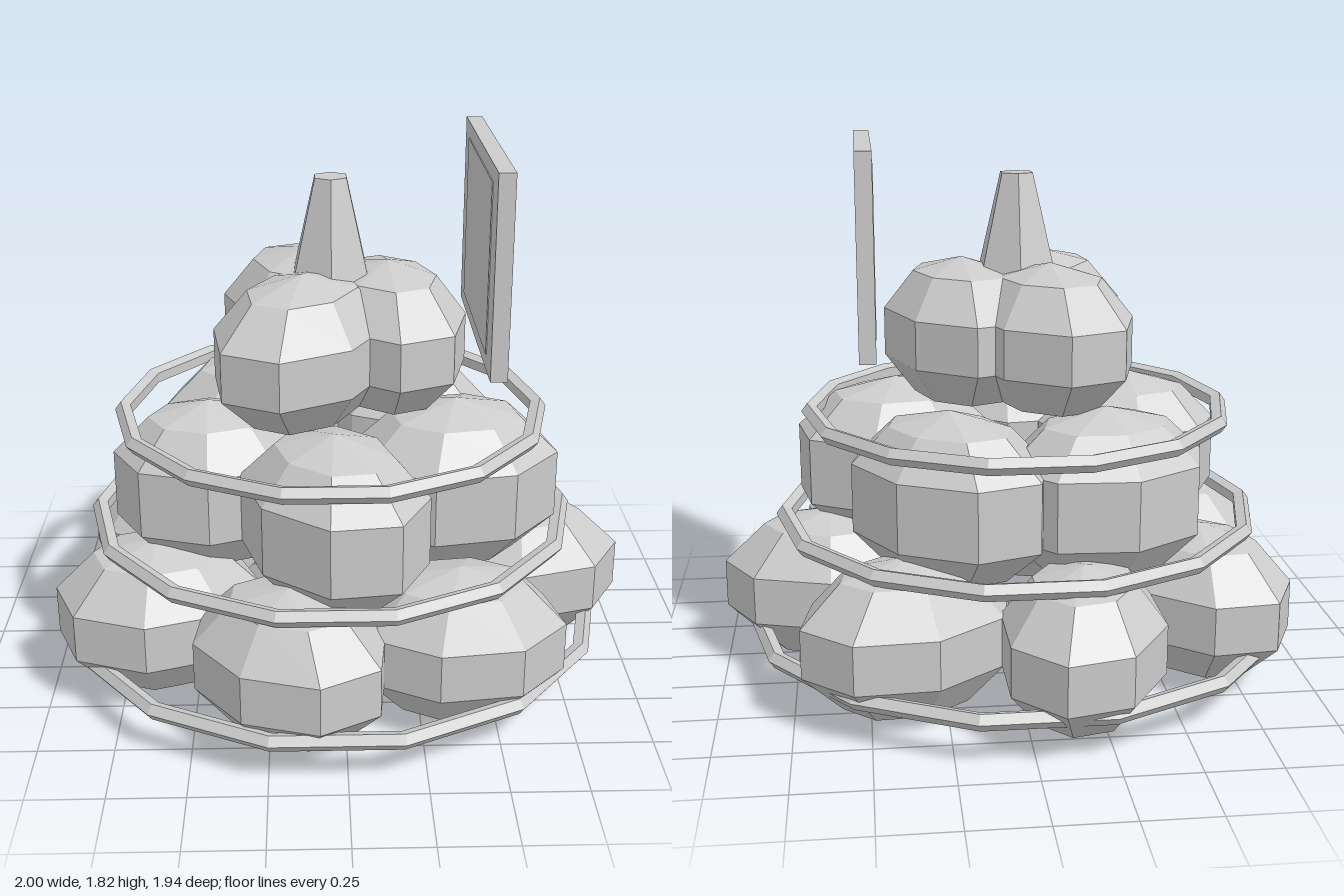
import * as THREE from 'three';

const material = new THREE.MeshStandardMaterial({ color: 0xcccccc, flatShading: true });
const rad = THREE.MathUtils.degToRad;

function part(parent, name, geometry, x = 0, y = 0, z = 0) {
  const mesh = new THREE.Mesh(geometry, material);
  mesh.name = name;
  mesh.position.set(x, y, z);
  parent.add(mesh);
  return mesh;
}

// Faceted lump: eight sides, long radius a along the given axis angle, short radius b across it
function lobeGeometry([a, b, axis, phase], heights) {
  const [tip, shoulder, band] = heights;
  const profile = [[0, -tip], [0.62, -shoulder], [1, -band], [1, band], [0.62, shoulder], [0, tip]]
    .map(([r, y]) => new THREE.Vector2(r, y));
  return new THREE.LatheGeometry(profile, 8)
    .rotateY(-rad(phase))
    .scale(a, 1, b)
    .rotateY(-rad(axis));
}

// Each layer: height, ring radius, first angle, profile heights, lobes as [a, b, axis, phase]
const layers = [
  {
    name: 'lowerLobe', y: 0.27, radius: 0.66, start: 0, heights: [0.27, 0.218, 0.083],
    lobes: [
      [0.375, 0.265, 0, 0], [0.355, 0.26, 0, 13], [0.345, 0.27, 34, 0], [0.355, 0.285, 170, 12],
      [0.37, 0.27, 235, 0], [0.365, 0.27, 286, 0], [0.365, 0.27, 340, 0],
    ],
  },
  {
    name: 'middleLobe', y: 0.68, radius: 0.44, start: 18, heights: [0.3, 0.243, 0.117],
    lobes: [
      [0.36, 0.29, -8, 20], [0.36, 0.28, 55, 0], [0.325, 0.26, 178, 0],
      [0.355, 0.27, 165, 0], [0.37, 0.27, 222, 0],
    ],
  },
  {
    name: 'upperLobe', y: 1.165, radius: 0.19, start: 0, heights: [0.262, 0.212, 0.082],
    lobes: [[0.365, 0.255, 73, 18], [0.38, 0.27, 120, 20], [0.36, 0.265, 251, 20]],
  },
];

export function createModel() {
  const model = new THREE.Group();
  model.name = 'lobedTower';

  const tower = new THREE.Group();
  tower.name = 'tower';
  tower.position.set(-0.035, 0, 0.02);
  model.add(tower);

  // Three stacked layers of lobes
  for (const { name, y, radius, start, heights, lobes } of layers) {
    lobes.forEach((lobe, i) => {
      const angle = rad(start + (i * 360) / lobes.length);
      part(tower, name, lobeGeometry(lobe, heights),
        radius * Math.cos(angle), y, radius * Math.sin(angle));
    });
  }

  // Thin five-sided bands around the layers
  for (const [radius, y] of [[0.935, 0.15], [0.82, 0.523], [0.72, 0.893]]) {
    part(tower, 'band', new THREE.TorusGeometry(radius, 0.03, 5, 14).rotateX(Math.PI / 2), 0, y, 0);
  }

  // Tapered stem
  part(tower, 'stem', new THREE.CylinderGeometry(0.06, 0.155, 0.38, 6), 0, 1.52, 0);

  // Upright panel with a shallow face plate
  part(model, 'panel', new THREE.BoxGeometry(0.055, 0.665, 0.89), 0.483, 1.488, 0.03);
  part(model, 'panelFace', new THREE.BoxGeometry(0.01, 0.56, 0.66), 0.457, 1.488, 0.03);

  return model;
}
